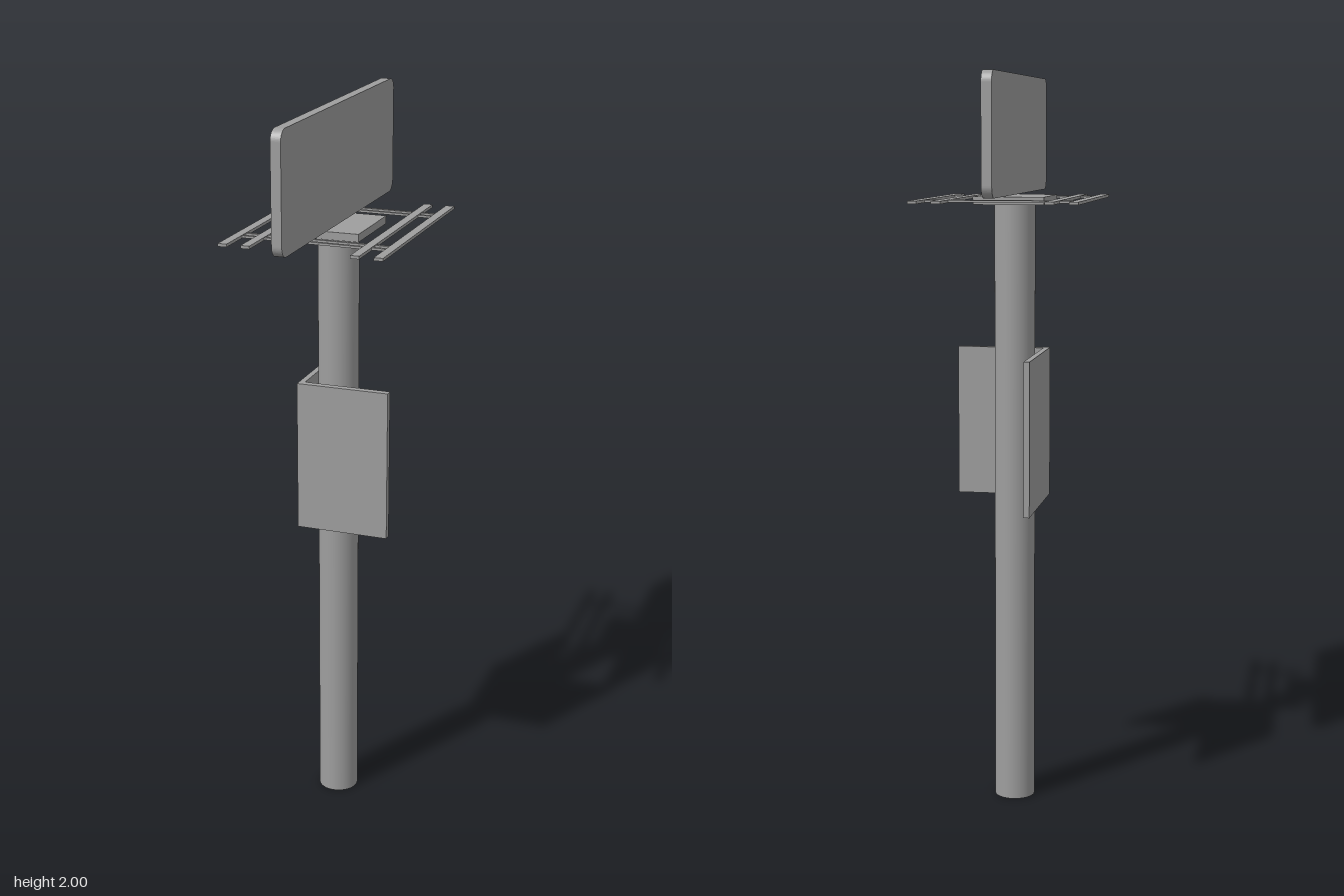
import * as THREE from 'three';

const material = new THREE.MeshStandardMaterial({ color: 0x9e9e9e });

export function createModel() {
  const group = new THREE.Group();
  const add = (name, geometry, x, y, z) => {
    const mesh = new THREE.Mesh(geometry, material);
    mesh.name = name;
    mesh.position.set(x, y, z);
    group.add(mesh);
    return mesh;
  };
  // Box given by its lowest and highest corners
  const box = (name, [x0, y0, z0], [x1, y1, z1]) =>
    add(name, new THREE.BoxGeometry(x1 - x0, y1 - y0, z1 - z0),
      (x0 + x1) / 2, (y0 + y1) / 2, (z0 + z1) / 2);

  // Round pole with a cap plate
  add('pole', new THREE.CylinderGeometry(0.055, 0.055, 1.665, 48), -0.004, 0.8325, -0.01);
  box('capPlate', [-0.102, 1.66, -0.128], [0.088, 1.681, 0.095]);

  // Two panels meeting in a corner around the pole
  box('frontPanel', [-0.084, 0.846, 0.077], [0.172, 1.26, 0.097]);
  box('sidePanel', [-0.084, 0.846, -0.244], [-0.068, 1.26, 0.077]);

  // Flat rack: four long slats and four slightly skewed cross bars
  for (const x of [-0.209, -0.147, 0.146, 0.208]) {
    box('rackSlat', [x - 0.012, 1.668, -0.32], [x + 0.012, 1.676, 0.287]);
  }
  for (const z of [-0.223, -0.197, 0.158, 0.185]) {
    const bar = add('rackCrossBar', new THREE.BoxGeometry(0.4, 0.006, 0.01), 0, 1.672, z);
    bar.rotation.y = -0.02;
  }

  // Upright sign board with rounded corners, just above the plate
  const w = 0.4225, h = 0.157, r = 0.03;
  const outline = new THREE.Shape();
  outline.absarc(w - r, h - r, r, 0, Math.PI / 2);
  outline.absarc(-w + r, h - r, r, Math.PI / 2, Math.PI);
  outline.absarc(-w + r, -h + r, r, Math.PI, Math.PI * 1.5);
  outline.absarc(w - r, -h + r, r, Math.PI * 1.5, Math.PI * 2);
  const board = new THREE.ExtrudeGeometry(outline, { depth: 0.027, bevelEnabled: false, curveSegments: 8 });
  board.translate(0, 0, -0.0135).rotateY(Math.PI / 2);
  add('signBoard', board, -0.006, 1.843, 0);

  return group;
}
